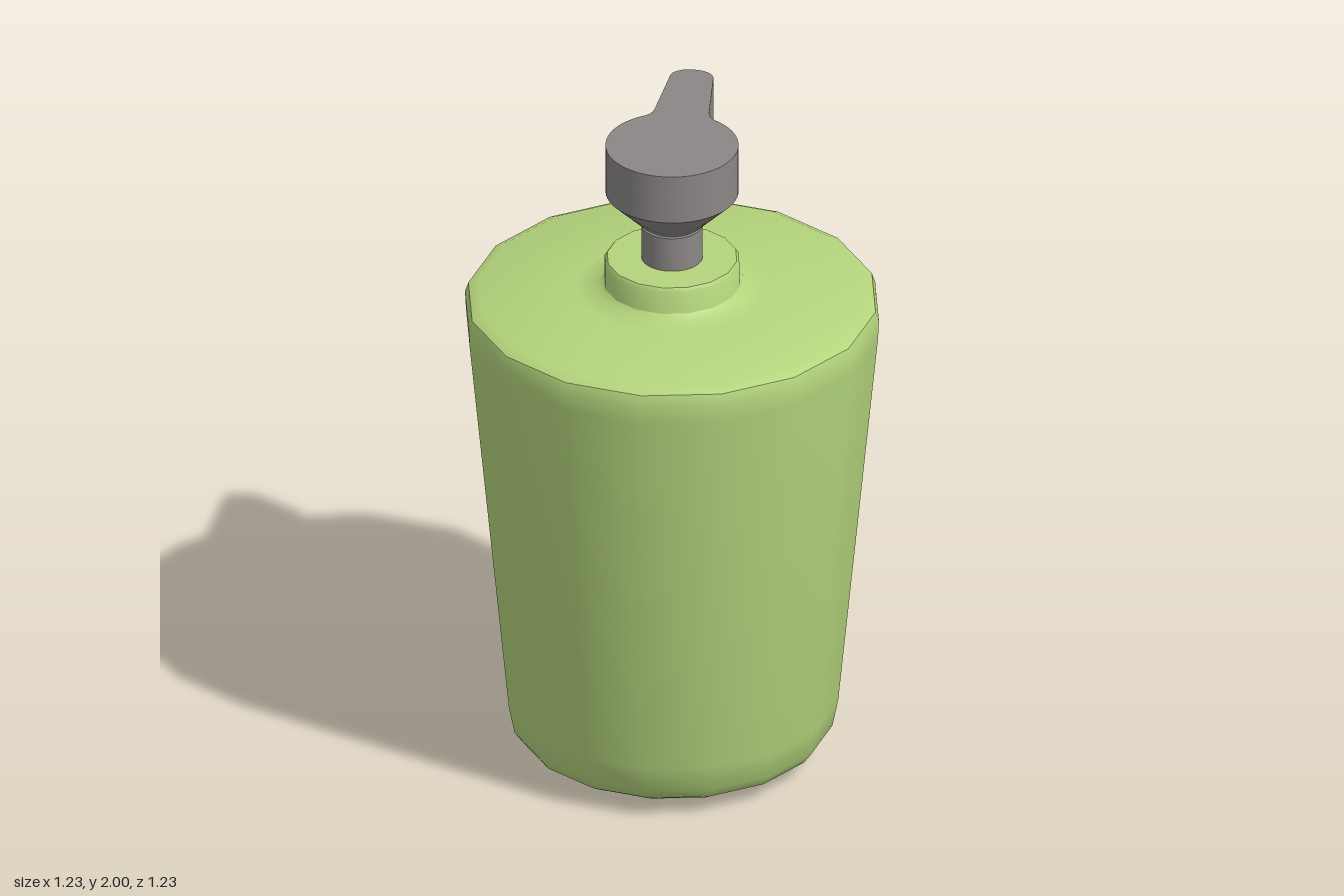
import * as THREE from 'three';
import { toCreasedNormals } from 'three/addons/utils/BufferGeometryUtils.js';

const green = new THREE.MeshStandardMaterial({ color: 0xb4d47c });
const grey = new THREE.MeshStandardMaterial({ color: 0x8c8787 });

function lathe(name, profile, sides, phase, material) {
  const points = profile.map(([r, y]) => new THREE.Vector2(r, y));
  let geometry = new THREE.LatheGeometry(points, sides, phase);
  geometry = toCreasedNormals(geometry, 0.75);
  const mesh = new THREE.Mesh(geometry, material);
  mesh.name = name;
  return mesh;
}

// Plan outline of the round head with its spout along +y, optionally open at the tip
function headOutline(open) {
  const r = 0.195, a = 1.02;
  const s = new THREE.Shape();
  s.moveTo(-r * Math.cos(a), r * Math.sin(a));
  s.absarc(0, 0, r, Math.PI - a, a + Math.PI * 2, false);
  s.quadraticCurveTo(0.083, 0.18, 0.08, 0.215);
  s.lineTo(0.064, 0.415);
  s.quadraticCurveTo(0.062, 0.44, 0.03, 0.455);
  if (open) {
    s.lineTo(0.03, 0.39);
    s.lineTo(-0.03, 0.39);
    s.lineTo(-0.03, 0.455);
  } else {
    s.quadraticCurveTo(0, 0.463, -0.03, 0.455);
  }
  s.quadraticCurveTo(-0.062, 0.44, -0.064, 0.415);
  s.lineTo(-0.08, 0.215);
  s.quadraticCurveTo(-0.083, 0.18, -r * Math.cos(a), r * Math.sin(a));
  return s;
}

export function createModel() {
  const model = new THREE.Group();
  model.name = 'pumpBottle';

  // Tapered bottle with rounded shoulder and base, sixteen sides
  model.add(lathe('bottle', [
    [0, 0], [0.3, 0.014], [0.41, 0.036], [0.45, 0.06], [0.475, 0.095], [0.492, 0.18],
    [0.61, 1.4], [0.613, 1.46], [0.603, 1.49], [0.57, 1.507], [0.28, 1.523],
    [0.22, 1.53], [0.203, 1.545],
  ], 16, -0.037, green));

  // Collar around the pump stem
  model.add(lathe('collar', [
    [0.21, 1.53], [0.2, 1.55], [0.2, 1.615], [0.192, 1.626], [0, 1.627],
  ], 16, -0.037, green));

  // Stem and the flared underside of the head
  const pump = new THREE.Group();
  pump.name = 'pump';
  pump.add(lathe('stem', [[0.09, 1.6], [0.09, 1.735], [0.07, 1.737]], 32, 0, grey));
  pump.add(lathe('headCone', [[0.07, 1.735], [0.085, 1.737], [0.195, 1.846]], 48, 0, grey));

  // Head and spout in three layers; the middle one leaves the nozzle opening
  const head = new THREE.Group();
  head.name = 'headAndSpout';
  const layers = [['headBottom', 1.846, 1.885, false], ['headMiddle', 1.885, 1.96, true], ['headTop', 1.96, 2, false]];
  for (const [name, y0, y1, open] of layers) {
    let geometry = new THREE.ExtrudeGeometry(headOutline(open), { depth: y1 - y0, bevelEnabled: false, curveSegments: open ? 24 : 24 });
    geometry = toCreasedNormals(geometry, 0.6);
    geometry.rotateX(-Math.PI / 2);
    const mesh = new THREE.Mesh(geometry, grey);
    mesh.name = name;
    mesh.position.y = y0;
    head.add(mesh);
  }
  head.rotation.y = -0.42;
  pump.add(head);
  model.add(pump);
  return model;
}
